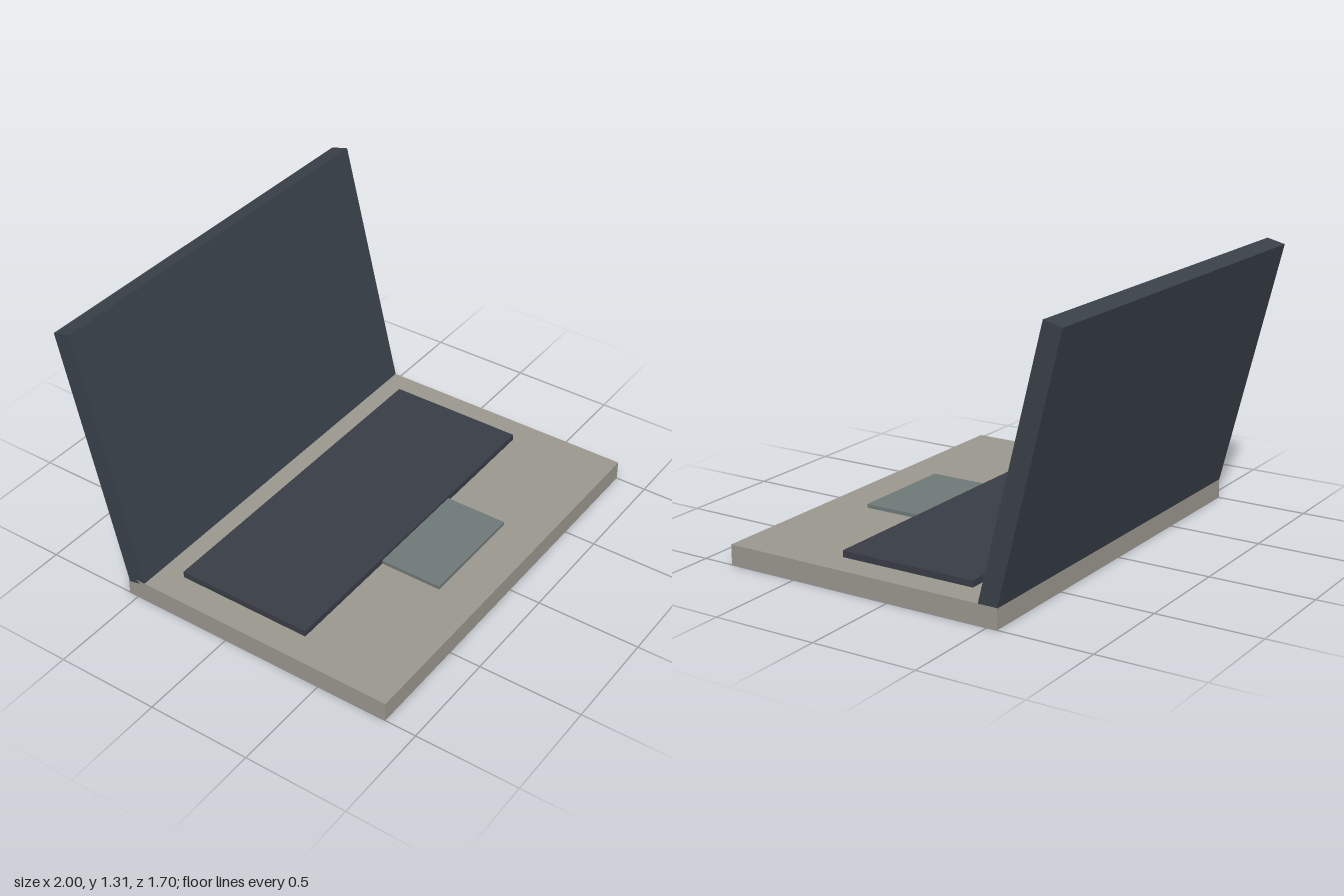
import * as THREE from 'three';

const material = (name, color) => {
  const m = new THREE.MeshStandardMaterial({ color });
  m.name = name;
  return m;
};

export function createModel() {
  const laptop = new THREE.Group();
  laptop.name = 'laptop';

  const warmGrey = material('warmGrey', 0x99968e);
  const charcoal = material('charcoal', 0x394048);
  const slate = material('slate', 0x383c45);
  const greyGreen = material('greyGreen', 0x6d7876);

  // Box given by its size and centre
  const box = (name, mat, [w, h, d], [x, y, z]) => {
    const mesh = new THREE.Mesh(new THREE.BoxGeometry(w, h, d), mat);
    mesh.name = name;
    mesh.position.set(x, y, z);
    laptop.add(mesh);
    return mesh;
  };

  // Lower body with the raised keyboard and touchpad
  box('base', warmGrey, [2, 0.096, 1.398], [0, 0.048, 0.149]);
  box('keyboard', slate, [1.726, 0.032, 0.676], [0, 0.111, -0.004]);
  box('touchpad', greyGreen, [0.55, 0.018, 0.308], [0, 0.105, 0.488]);

  // Open lid, leaning back 14 degrees
  const lid = box('lid', charcoal, [2, 1.262, 0.091], [0, 0.691, -0.652]);
  lid.rotation.x = -THREE.MathUtils.degToRad(14);

  return laptop;
}
